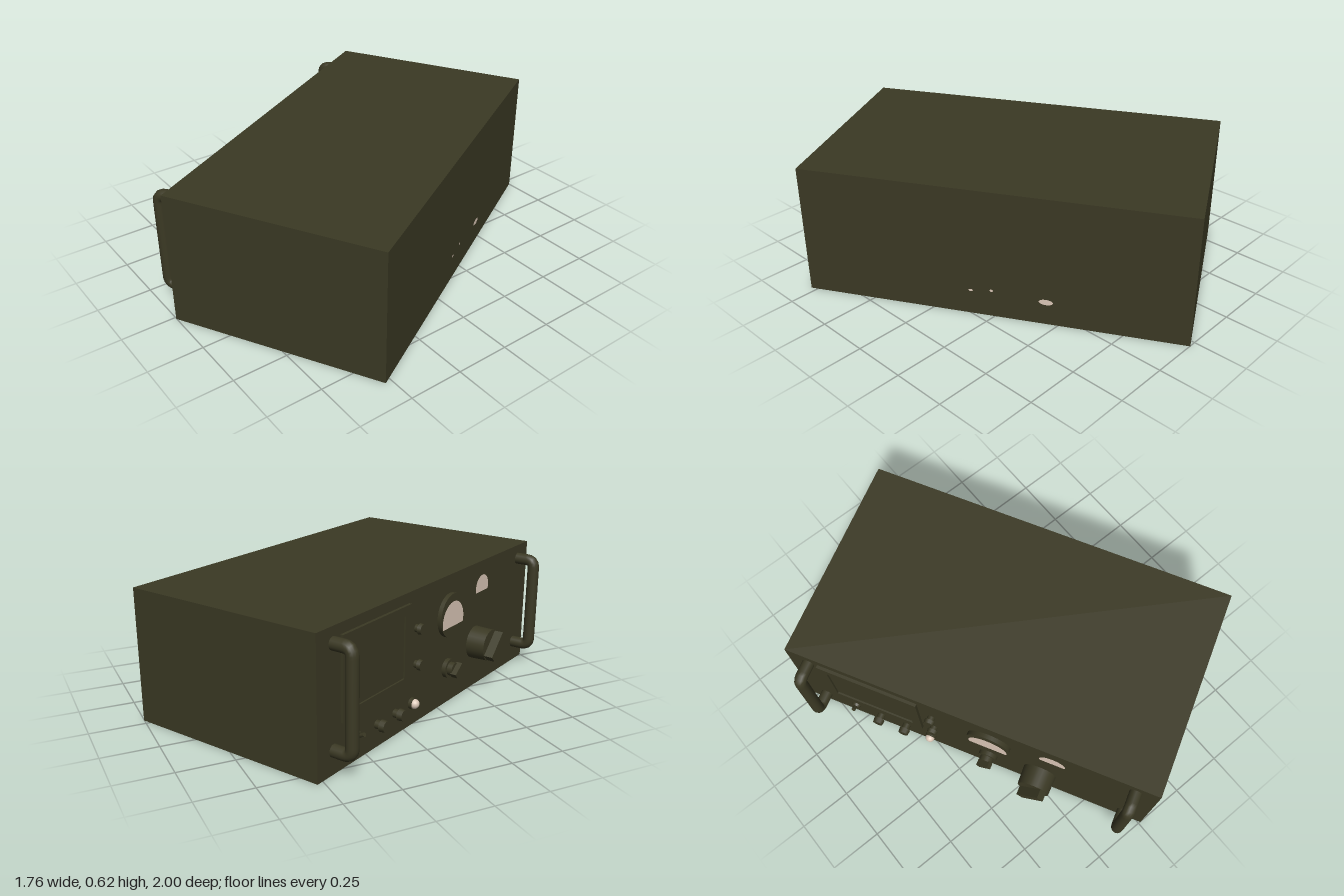
import * as THREE from 'three';

export function createModel() {
  const model = new THREE.Group();
  model.name = 'equipmentBox';
  const olive = new THREE.MeshStandardMaterial({ color: 0x3b3924 });
  olive.name = 'olive paint';
  const cream = new THREE.MeshStandardMaterial({ color: 0xdcc8b8 });
  cream.name = 'cream';

  const W = 1.745, H = 0.618, D = 0.984;
  // unit stands turned on the ground; its control panel is local +z
  const unit = new THREE.Group();
  unit.name = 'unit';
  unit.position.x = 0.0225;
  unit.rotation.y = -1.069;
  model.add(unit);

  // control panel group: z = 0 is the panel surface
  const panel = new THREE.Group();
  panel.name = 'controlPanel';
  panel.position.z = D / 2;
  unit.add(panel);

  const add = (name, geo, mat, x, y, z, parent = panel) => {
    const m = new THREE.Mesh(geo, mat);
    m.name = name;
    m.position.set(x, y, z);
    parent.add(m);
    return m;
  };
  // round part standing out of the panel from depth z0 to z1
  const disc = (name, x, y, r0, r1, z0, z1, mat = olive, sides = 24) => {
    const g = new THREE.CylinderGeometry(r1, r0, z1 - z0, sides).rotateX(Math.PI / 2);
    return add(name, g, mat, x, y, (z0 + z1) / 2);
  };

  add('case', new THREE.BoxGeometry(W, H, D), olive, 0, H / 2, 0, unit);

  // carrying handles with rounded corners
  const path = new THREE.CurvePath();
  const v = (y, z) => new THREE.Vector3(0, y, z);
  const reach = 0.09, low = 0.105, high = 0.55, c = 0.035;
  path.add(new THREE.LineCurve3(v(low, -0.01), v(low, reach - c)));
  path.add(new THREE.QuadraticBezierCurve3(v(low, reach - c), v(low, reach), v(low + c, reach)));
  path.add(new THREE.LineCurve3(v(low + c, reach), v(high - c, reach)));
  path.add(new THREE.QuadraticBezierCurve3(v(high - c, reach), v(high, reach), v(high, reach - c)));
  path.add(new THREE.LineCurve3(v(high, reach - c), v(high, -0.01)));
  const handleGeo = new THREE.TubeGeometry(path, 48, 0.028, 14);
  for (const s of [-1, 1]) add(s < 0 ? 'leftHandle' : 'rightHandle', handleGeo, olive, s * 0.77, 0, 0);

  // display frame around a recessed screen
  const frame = new THREE.Shape();
  frame.moveTo(-0.24, -0.183).lineTo(0.24, -0.183).lineTo(0.24, 0.183).lineTo(-0.24, 0.183).closePath();
  const hole = new THREE.Path();
  hole.moveTo(-0.195, -0.14).lineTo(-0.195, 0.14).lineTo(0.195, 0.14).lineTo(0.195, -0.14).closePath();
  frame.holes.push(hole);
  add('screenFrame', new THREE.ExtrudeGeometry(frame, { depth: 0.014, bevelEnabled: false }), olive, -0.483, 0.388, 0);
  add('screen', new THREE.BoxGeometry(0.39, 0.28, 0.006), olive, -0.483, 0.388, 0.003);

  // screen side knobs and the lower row of controls
  const knob = (name, x, y, r, h) => {
    disc(name + 'Neck', x, y, r * 0.7, r * 0.7, 0, h * 0.5);
    disc(name + 'Cap', x, y, r, r * 0.9, h * 0.5, h, olive, 12);
  };
  knob('upperScreenKnob', -0.182, 0.444, 0.025, 0.035);
  knob('lowerScreenKnob', -0.182, 0.28, 0.025, 0.035);
  knob('rowKnobA', -0.475, 0.105, 0.027, 0.05);
  knob('rowKnobB', -0.34, 0.105, 0.027, 0.05);
  disc('toggleBase', -0.61, 0.105, 0.022, 0.018, 0, 0.012);
  const lever = disc('toggleLever', -0.61, 0.112, 0.007, 0.01, 0, 0.035, olive, 10);
  lever.rotation.x = -0.4;
  disc('lampBase', -0.21, 0.105, 0.026, 0.026, 0, 0.015);
  add('lampLens', new THREE.SphereGeometry(0.022, 16, 12), cream, -0.21, 0.105, 0.018);

  // meters: cream dial with its lower part left in the case colour
  const dial = (r, cut) => {
    const s = new THREE.Shape();
    s.absarc(0, 0, r, -cut, Math.PI + cut, false);
    s.closePath();
    return new THREE.ShapeGeometry(s, 24);
  };
  disc('meterBody', 0.097, 0.43, 0.103, 0.103, 0, 0.02, olive, 32);
  add('meterDial', dial(0.092, 0.28), cream, 0.097, 0.405, 0.022);
  add('smallMeterDial', dial(0.06, 0.35), cream, 0.395, 0.49, 0.004);

  // large rotary switch with diagonal grip
  disc('rotaryBody', 0.347, 0.227, 0.078, 0.075, 0, 0.09, olive, 28);
  const grip = add('rotaryGrip', new THREE.BoxGeometry(0.14, 0.04, 0.045), olive, 0.347, 0.227, 0.11);
  grip.rotation.z = Math.PI / 4;

  // small rotary switch
  disc('selectorBase', 0.09, 0.175, 0.045, 0.045, 0, 0.02);
  disc('selectorBody', 0.09, 0.175, 0.032, 0.032, 0.02, 0.045);
  const pointer = add('selectorGrip', new THREE.BoxGeometry(0.07, 0.025, 0.03), olive, 0.09, 0.175, 0.055);
  pointer.rotation.z = Math.PI / 5;

  // small light marks on the rear face
  for (const [x, y, rx, ry] of [[-0.245, 0.115, 0.032, 0.014], [0.094, 0.122, 0.01, 0.006], [0, 0.134, 0.008, 0.006]]) {
    const mark = add('rearMark', new THREE.CircleGeometry(1, 16), cream, x, y, -D / 2 - 0.002, unit);
    mark.rotation.y = Math.PI;
    mark.scale.set(rx, ry, 1);
  }
  return model;
}
